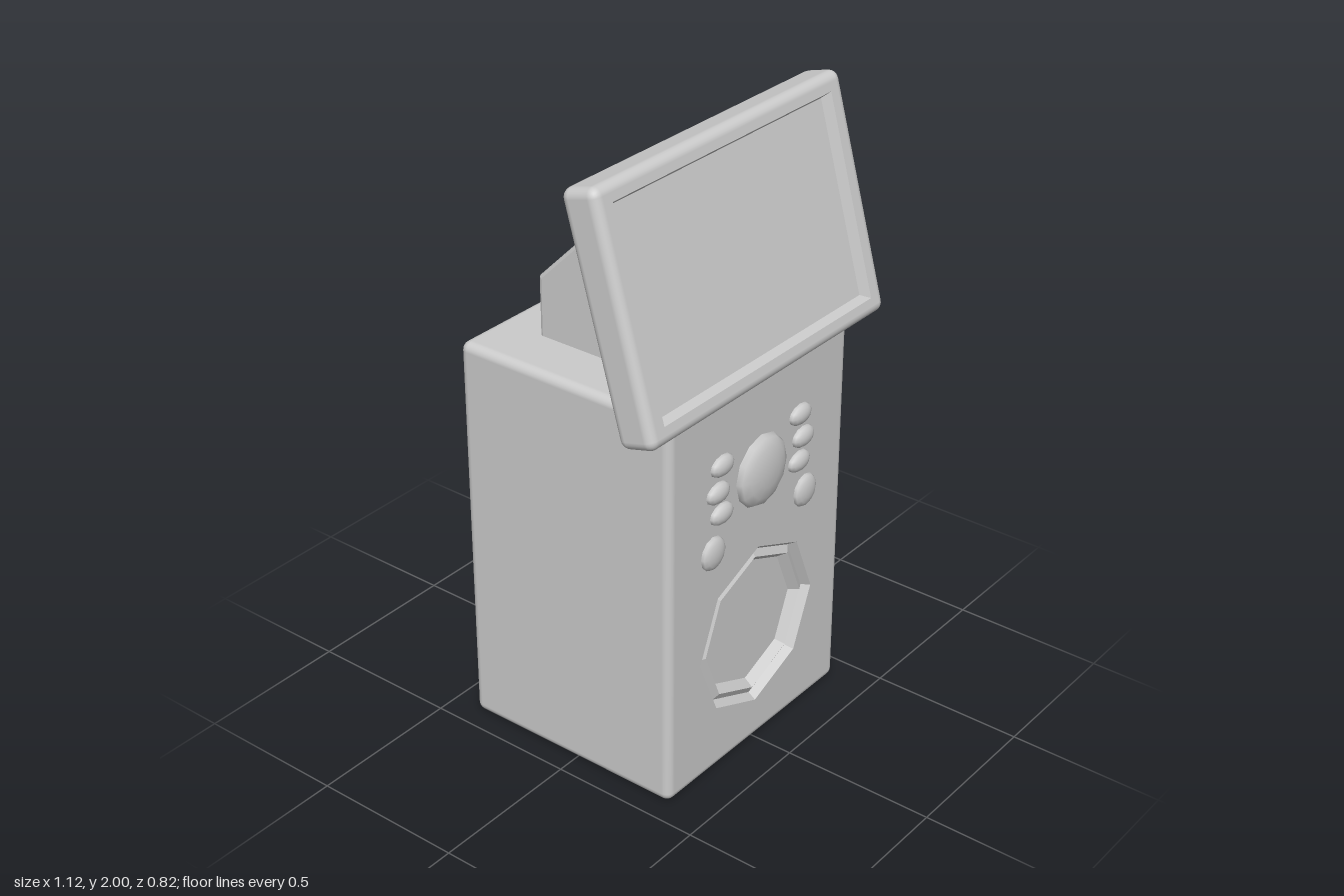
import * as THREE from 'three';
import { RoundedBoxGeometry } from 'three/addons/geometries/RoundedBoxGeometry.js';
import { mergeGeometries } from 'three/addons/utils/BufferGeometryUtils.js';

const material = new THREE.MeshStandardMaterial({ color: 0xcccccc });

function add(parent, name, geometry, x = 0, y = 0, z = 0) {
  const mesh = new THREE.Mesh(geometry, material);
  mesh.name = name;
  mesh.position.set(x, y, z);
  parent.add(mesh);
  return mesh;
}

// Counter-clockwise outlines
const rect = (hw, hh) => [[-hw, -hh], [hw, -hh], [hw, hh], [-hw, hh]].map(p => new THREE.Vector2(...p));
const octagon = (r, cy) => Array.from({ length: 8 }, (_, i) =>
  new THREE.Vector2(r * Math.cos(i * Math.PI / 4), cy + r * Math.sin(i * Math.PI / 4)));

// Rounded box whose front face is cut open and filled by a stepped recess.
// rings: [{ points, depth }] from the rim inwards
function recessedBox(w, h, d, r, rings) {
  const box = new RoundedBoxGeometry(w, h, d, 3, r);
  const src = box.attributes.position;
  const nor = box.attributes.normal;
  const position = [], normal = [];
  for (let i = 0; i < src.count; i += 3) {
    if ([0, 1, 2].every(k => src.getZ(i + k) > d / 2 - 1e-5)) continue;
    for (let k = i; k < i + 3; k++) {
      position.push(src.getX(k), src.getY(k), src.getZ(k));
      normal.push(nor.getX(k), nor.getY(k), nor.getZ(k));
    }
  }
  const shell = new THREE.BufferGeometry();
  shell.setAttribute('position', new THREE.Float32BufferAttribute(position, 3));
  shell.setAttribute('normal', new THREE.Float32BufferAttribute(normal, 3));

  // Front plate around the opening
  const plateShape = new THREE.Shape(rect(w / 2 - r, h / 2 - r));
  plateShape.holes.push(new THREE.Path(rings[0].points));
  const plate = new THREE.ShapeGeometry(plateShape).translate(0, 0, d / 2);

  // Sloping walls between successive rings
  const walls = [];
  for (let j = 0; j + 1 < rings.length; j++) {
    const n = rings[j].points.length;
    const at = (ring, i) => [ring.points[i % n].x, ring.points[i % n].y, d / 2 - ring.depth];
    for (let i = 0; i < n; i++) {
      const a = at(rings[j], i), b = at(rings[j], i + 1);
      const c = at(rings[j + 1], i + 1), e = at(rings[j + 1], i);
      walls.push(...a, ...b, ...c, ...a, ...c, ...e);
    }
  }
  const wall = new THREE.BufferGeometry();
  wall.setAttribute('position', new THREE.Float32BufferAttribute(walls, 3));
  wall.computeVertexNormals();

  // Floor of the recess
  const last = rings[rings.length - 1];
  const floor = new THREE.ShapeGeometry(new THREE.Shape(last.points)).translate(0, 0, d / 2 - last.depth);

  return mergeGeometries([shell, plate, wall, floor].map(g => {
    const flat = g.index ? g.toNonIndexed() : g;
    flat.deleteAttribute('uv');
    return flat;
  }));
}

export function createModel() {
  const model = new THREE.Group();
  model.name = 'consoleCabinet';

  // Cabinet with an octagonal speaker recess
  const cy = 0.42 - 0.655;
  const speaker = [[0.28, 0], [0.262, 0.025], [0.238, 0.012], [0.215, 0.04]]
    .map(([r, depth]) => ({ points: octagon(r, cy), depth }));
  add(model, 'cabinet', recessedBox(0.86, 1.31, 0.775, 0.028, speaker), 0, 0.655, -0.0235);

  // Tilted screen with a recessed display
  const display = [
    { points: rect(0.494, 0.317), depth: 0 },
    { points: rect(0.48, 0.303), depth: 0.03 },
  ];
  const screen = add(model, 'screen', recessedBox(1.115, 0.745, 0.127, 0.03, display), 0, 1.628, 0.252);
  screen.rotation.x = -0.272;

  // Housing behind the screen, profile drawn in (z, y)
  const profile = new THREE.Shape([[-0.255, 1.28], [0.27, 1.28], [0.165, 1.685], [-0.07, 1.685], [-0.255, 1.5]]
    .map(p => new THREE.Vector2(...p)));
  const bevel = 0.012, width = 0.506;
  const housing = new THREE.ExtrudeGeometry(profile, {
    depth: width - 2 * bevel, bevelThickness: bevel, bevelSize: bevel, bevelOffset: -bevel, bevelSegments: 2,
  });
  housing.translate(0, 0, bevel - width / 2).rotateY(-Math.PI / 2);
  add(model, 'screenHousing', housing);

  // Domed controls, flattened against the front face
  const face = 0.364;
  const dome = (name, x, y, rx, ry, height) => {
    const geometry = new THREE.SphereGeometry(1, 12, 8).rotateX(Math.PI / 2).scale(rx, ry, height);
    add(model, name, geometry, x, y, face);
  };
  dome('mainDial', 0, 0.965, 0.118, 0.118, 0.04);
  for (const [side, s] of [['left', 1], ['right', -1]]) {
    [[0.19, 1.068], [0.208, 0.985], [0.19, 0.908]].forEach(([x, y], i) =>
      dome(`${side}Button${i + 1}`, s * x, y, 0.052, 0.034, 0.024));
    dome(`${side}Knob`, s * 0.227, 0.79, 0.055, 0.055, 0.022);
  }
  return model;
}
